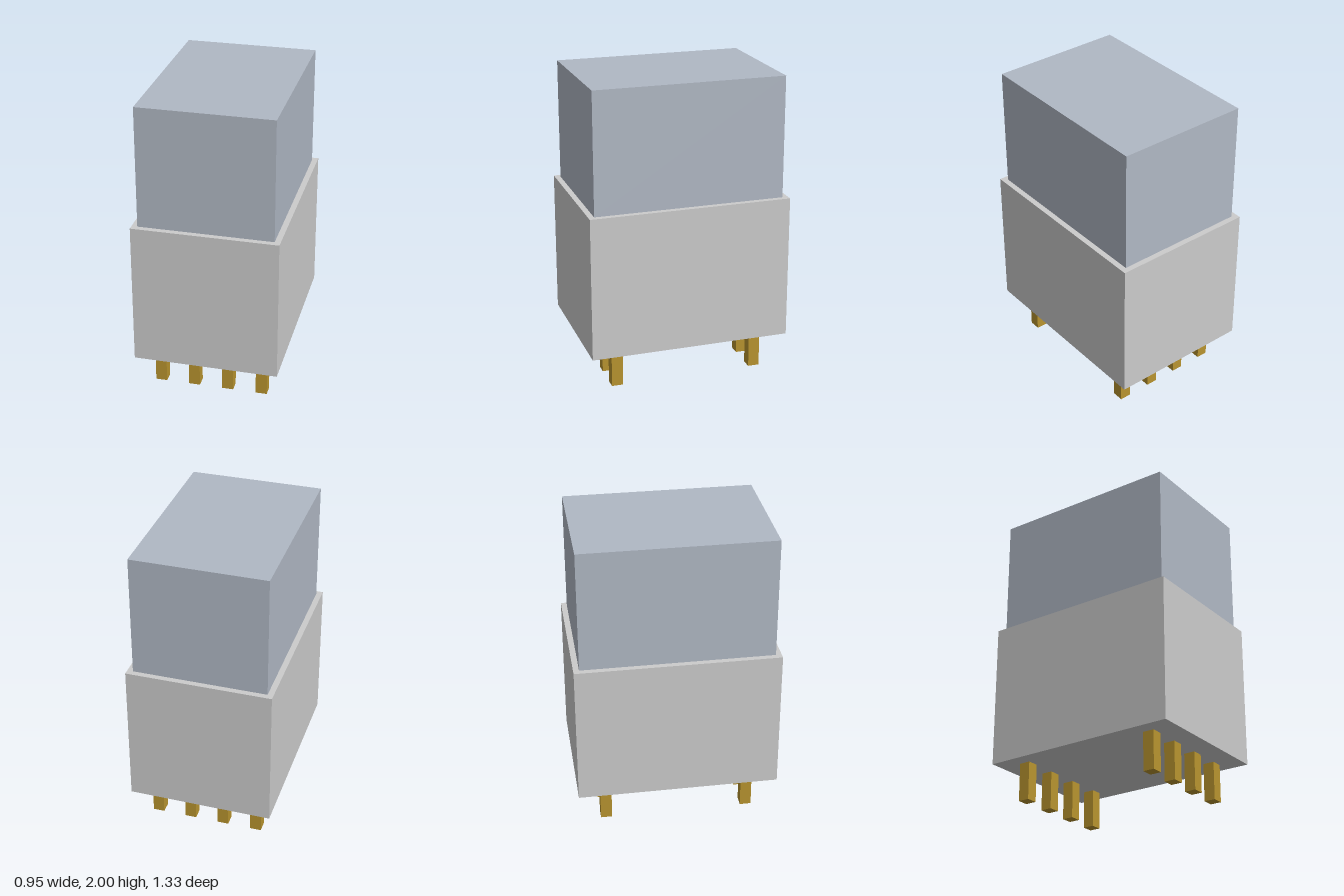
import * as THREE from 'three';

export function createModel() {
  const model = new THREE.Group();
  const bodyMat = new THREE.MeshStandardMaterial({ color: 0xcccccc });
  const capMat = new THREE.MeshStandardMaterial({ color: 0xb0b8c4 });
  const pinMat = new THREE.MeshStandardMaterial({ color: 0xb8942f });

  // Box placed by its footprint centre and bottom height
  function addBox(name, material, [w, h, d], [x, bottom, z]) {
    const mesh = new THREE.Mesh(new THREE.BoxGeometry(w, h, d), material);
    mesh.name = name;
    mesh.position.set(x, bottom + h / 2, z);
    model.add(mesh);
  }

  // Housing with a slightly narrower block on top
  addBox('housing', bodyMat, [0.95, 0.95, 1.33], [0, 0.25, 0]);
  addBox('upperBlock', capMat, [0.875, 0.8, 1.255], [0, 1.2, 0]);

  // Two rows of four square pins
  for (const z of [-0.477, 0.477]) {
    for (let i = 0; i < 4; i++) {
      addBox('pin', pinMat, [0.075, 0.25, 0.075], [(i - 1.5) * 0.228, 0, z]);
    }
  }
  return model;
}
